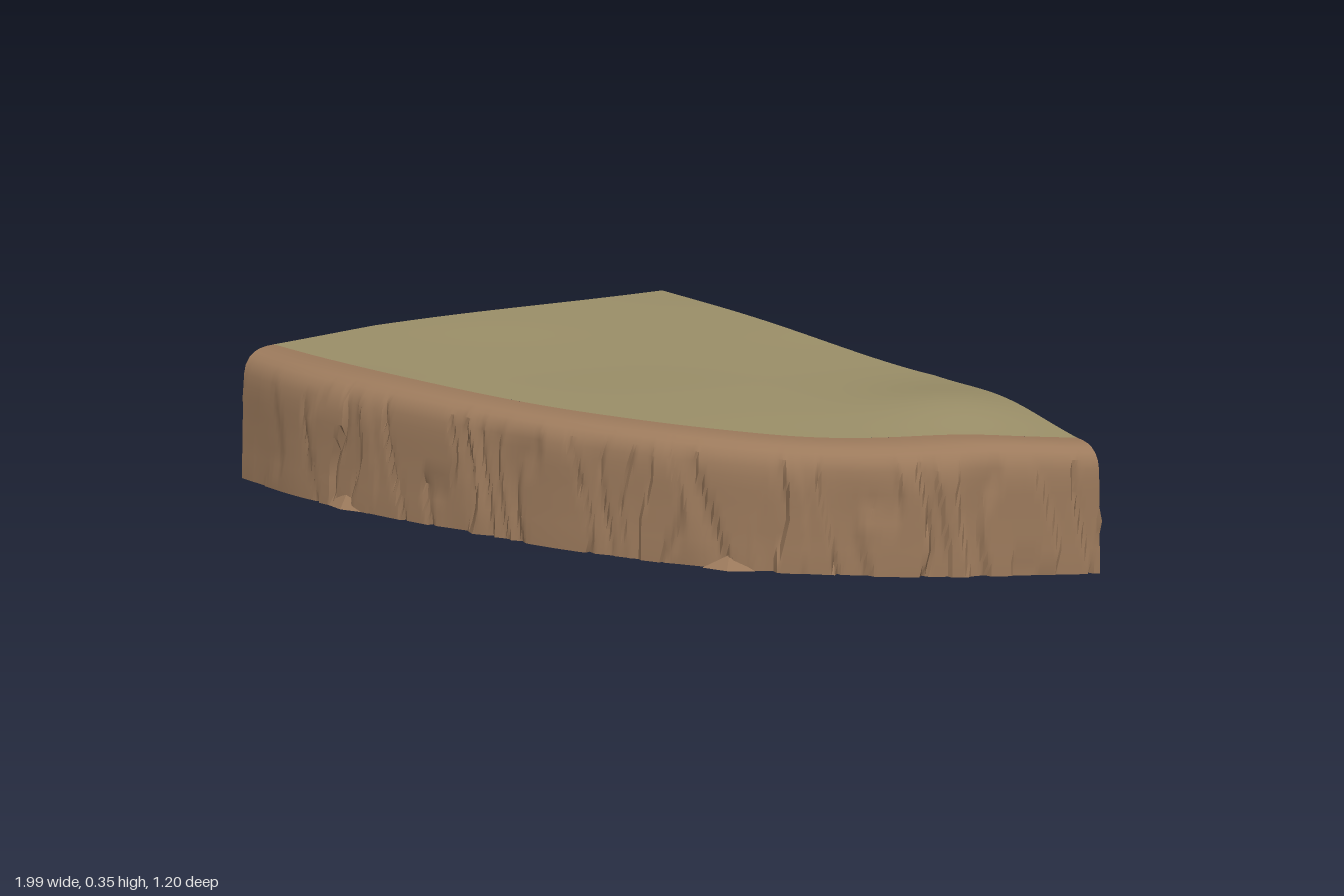
import * as THREE from 'three';
import { toCreasedNormals } from 'three/addons/utils/BufferGeometryUtils.js';

const soil = new THREE.MeshStandardMaterial({ color: 0x9c7a5c, side: THREE.DoubleSide });
soil.name = 'brown rock';
const grass = new THREE.MeshStandardMaterial({ color: 0x9c9069, side: THREE.DoubleSide });
grass.name = 'olive ground';

const curve = (pts) => new THREE.CatmullRomCurve3(pts.map(([x, z]) => new THREE.Vector3(x, 0, z)));

// Plan of the cliff: inner edge (ground meets rock) and outer edge (wall face)
const inner = curve([[-1, 0.49], [-0.8, 0.47], [-0.6, 0.44], [-0.4, 0.395], [-0.2, 0.335], [0, 0.26],
  [0.2, 0.165], [0.4, 0.03], [0.5, -0.06], [0.6, -0.17], [0.7, -0.29], [0.8, -0.41], [0.88, -0.528]]);
const outer = curve([[-1, 0.6], [-0.8, 0.598], [-0.6, 0.565], [-0.4, 0.517], [-0.2, 0.458], [0, 0.39],
  [0.2, 0.295], [0.4, 0.178], [0.6, 0.01], [0.76, -0.16], [0.89, -0.35], [1, -0.515]]);

// Back border of the ground: [column, x, z]
const border = [[0, -1, 0.49], [10, -0.97, 0.2], [40, -0.8, -0.56], [76, 0.22, -0.605], [100, 0.88, -0.528]];

const hash = (n) => {
  const s = Math.sin(n * 127.1 + 11.7) * 43758.5453;
  return s - Math.floor(s);
};

// Gently rolling ground with one low mound at the back
function height(x, z) {
  const mound = 0.032 * Math.exp(-(((x - 0.52) / 0.24) ** 2) - ((z + 0.43) / 0.2) ** 2);
  return 0.321 + mound + 0.004 * Math.sin(x * 6 + 1.2) * Math.cos(z * 5) - 0.004 * x;
}

// Surface from a grid of points; rows run outward, columns run along the cliff
function gridSurface(cols, rows, pointAt) {
  const pos = [], idx = [];
  for (let j = 0; j <= rows; j++) {
    for (let i = 0; i <= cols; i++) pos.push(...pointAt(i, j));
  }
  for (let j = 0; j < rows; j++) {
    for (let i = 0; i < cols; i++) {
      const a = j * (cols + 1) + i, b = a + cols + 1;
      idx.push(a, b, a + 1, b, b + 1, a + 1);
    }
  }
  const geo = new THREE.BufferGeometry();
  geo.setAttribute('position', new THREE.Float32BufferAttribute(pos, 3));
  geo.setIndex(idx);
  geo.computeVertexNormals();
  return geo;
}

function borderPoint(i) {
  const k = Math.max(1, border.findIndex((b) => b[0] >= i));
  const [i0, x0, z0] = border[k - 1], [i1, x1, z1] = border[k];
  const f = (i - i0) / (i1 - i0);
  return [x0 + (x1 - x0) * f, z0 + (z1 - z0) * f];
}

function groundGeometry() {
  const rows = 24;
  return gridSurface(100, rows, (i, j) => {
    const [bx, bz] = borderPoint(i);
    const p = inner.getPointAt(i / 100), f = j / rows;
    const x = bx + (p.x - bx) * f, z = bz + (p.z - bz) * f;
    return [x, height(x, z), z];
  });
}

// Depth of the chipped, slanting rock slabs at distance u along the wall
function chip(u, y) {
  const f = u * 30 + 0.5 * Math.sin(u * 37) + 0.35 * Math.sin(y * 14 + u * 50);
  const i = Math.floor(f), t = f - i;
  const slope = (hash(i + 40) - 0.4) * 0.03;
  const groove = hash(i + 80) > 0.5 ? 0.014 * Math.max(0, 1 - t * 6) : 0;
  return 0.002 + hash(i) * 0.012 + Math.max(0, slope * t) + groove;
}

// Wall profile: [share of the way out, height as share of the rim]
const profile = [[0, 1], [0.2, 1], [0.4, 0.992], [0.55, 0.975], [0.7, 0.94], [0.82, 0.89], [0.91, 0.82],
  [0.96, 0.74], [0.98, 0.64], [0.97, 0.53], [0.98, 0.42], [0.98, 0.31], [0.99, 0.2], [1, 0.1], [1, 0]];

function wallGeometry() {
  const cols = 300;
  const geo = gridSurface(cols, profile.length - 1, (i, j) => {
    const u = i / cols, [out, up] = profile[j];
    const a = inner.getPointAt(u), b = outer.getPointAt(u);
    const y = height(a.x, a.z) * up;
    const rough = THREE.MathUtils.smoothstep(1 - up, 0.02, 0.3);
    const f = out - (chip(u, y) * rough) / a.distanceTo(b);
    return [a.x + (b.x - a.x) * f, y, a.z + (b.z - a.z) * f];
  });
  return toCreasedNormals(geo, 0.6);
}

export function createModel() {
  const model = new THREE.Group();
  model.name = 'cliffSection';
  const add = (name, geo, mat) => {
    const mesh = new THREE.Mesh(geo, mat);
    mesh.name = name;
    model.add(mesh);
    return mesh;
  };

  add('groundTop', groundGeometry(), grass);
  add('cliffWall', wallGeometry(), soil);

  // Small wedge stones at the foot of the wall
  for (const [x, z, turn] of [[-0.63, 0.555, 0.2], [0.39, 0.168, 0.65]]) {
    const geo = new THREE.ConeGeometry(0.07, 0.035, 5).toNonIndexed();
    geo.computeVertexNormals();
    const stone = add('footStone', geo, soil);
    stone.scale.z = 0.35;
    stone.rotation.y = turn;
    stone.position.set(x, 0.0175, z);
  }
  return model;
}
